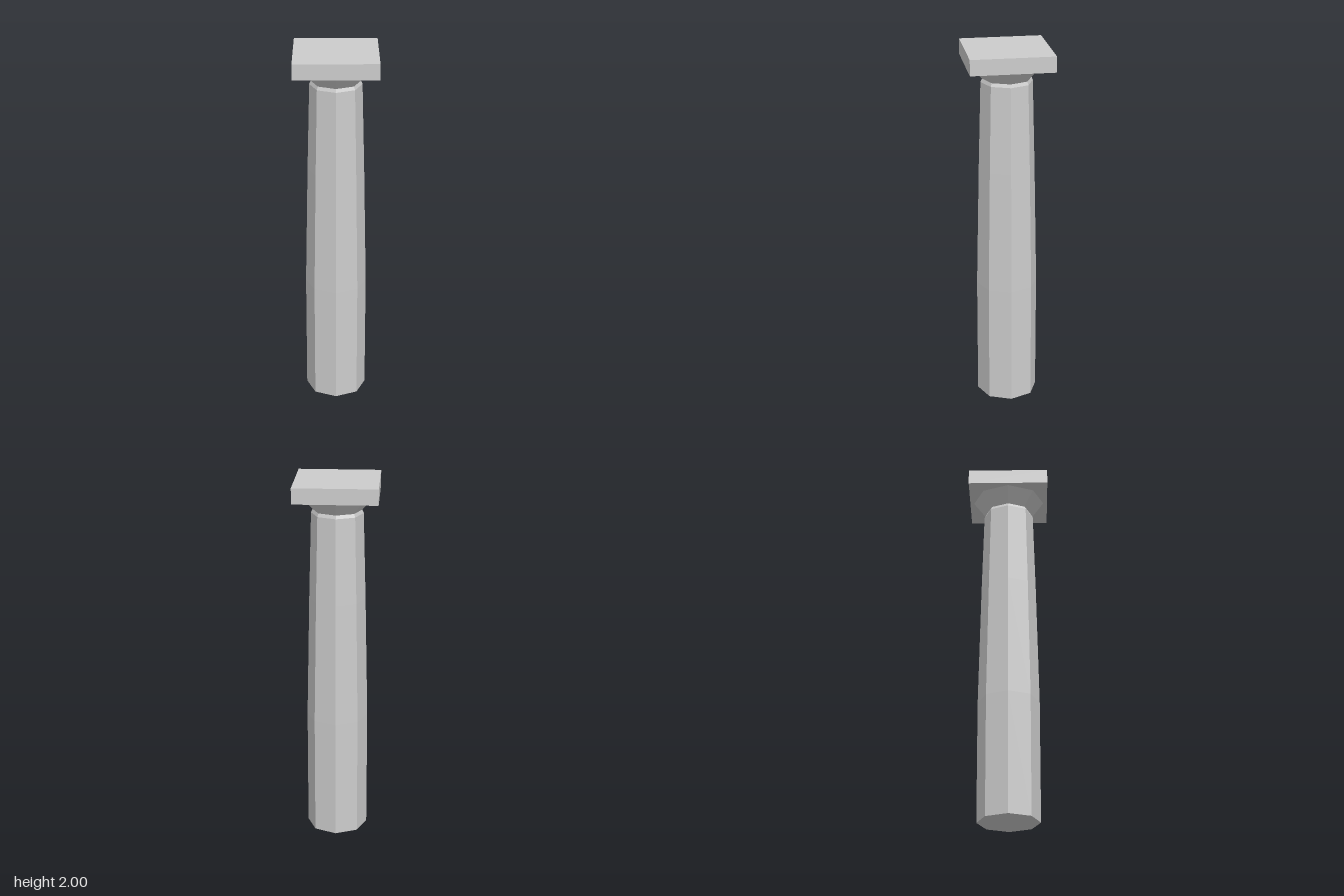
import * as THREE from 'three';

const SIDES = 8;

export function createModel() {
  const column = new THREE.Group();
  column.name = 'column';

  const stone = new THREE.MeshStandardMaterial({ color: 0xcccccc, flatShading: true });
  stone.name = 'stone';

  const add = (name, geometry, y = 0) => {
    const mesh = new THREE.Mesh(geometry, stone);
    mesh.name = name;
    mesh.position.y = y;
    column.add(mesh);
  };

  // Eight-sided solid turned from [radius, height] pairs, bottom to top
  const turned = (profile) =>
    new THREE.LatheGeometry(profile.map(([r, y]) => new THREE.Vector2(r, y)), SIDES);

  // Shaft: straight lower third, tapering above, with a small chamfer at the neck
  add('shaft', turned([[0, 0], [0.167, 0], [0.167, 0.67], [0.152, 1.35], [0.139, 1.82], [0.131, 1.838]]));

  // Flared cushion under the slab
  add('capital', turned([[0.131, 1.838], [0.2, 1.916]]));

  // Square slab on top
  add('abacus', new THREE.BoxGeometry(0.444, 0.084, 0.444), 1.958);

  return column;
}
